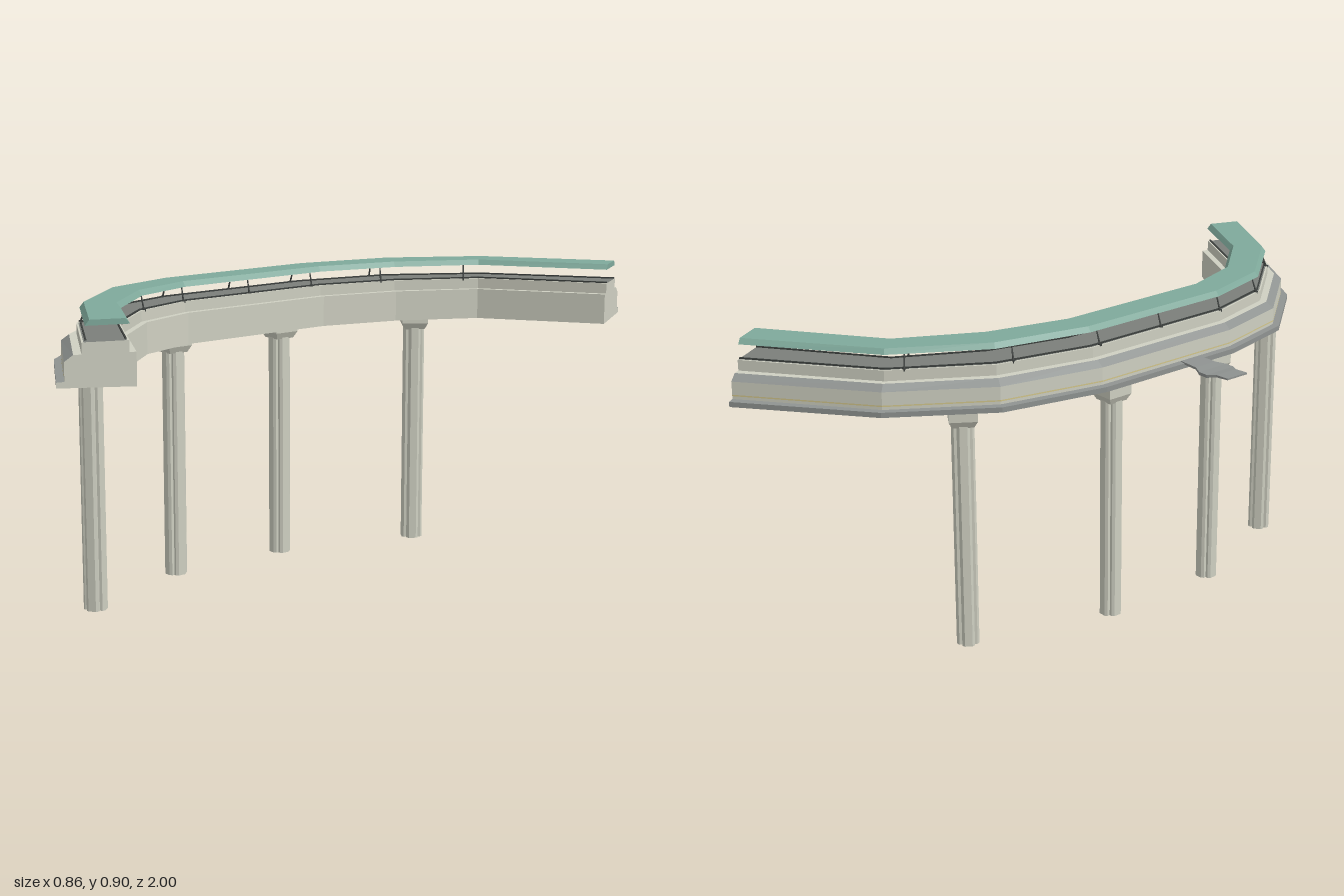
import * as THREE from 'three';

const mat = (name, color) => {
  const m = new THREE.MeshStandardMaterial({ color });
  m.name = name;
  return m;
};

// plan outlines [x, z] from back to front: outer and inner edge of the deck
const OUTER = [[0.325, -1], [-0.01, -0.73], [-0.19, -0.455], [-0.256, -0.137],
  [-0.256, 0.355], [-0.198, 0.6], [-0.003, 0.835], [0.277, 0.995]];
const INNER = [[0.427, -0.83], [0.113, -0.6], [-0.003, -0.37], [-0.063, -0.137],
  [-0.063, 0.355], [-0.003, 0.535], [0.135, 0.69], [0.352, 0.8]];
const WIDTH = 0.193;

// point at path corner i, s across the deck from the outer edge, height y
function at(i, s, y) {
  const t = s / WIDTH, k = Math.min(Math.floor(i), OUTER.length - 2), f = i - k;
  const mix = (c) => {
    const a = OUTER[k][c] + (INNER[k][c] - OUTER[k][c]) * t;
    const b = OUTER[k + 1][c] + (INNER[k + 1][c] - OUTER[k + 1][c]) * t;
    return a + (b - a) * f;
  };
  return new THREE.Vector3(mix(0), y, mix(1));
}

function fromTriangles(tris) {
  const g = new THREE.BufferGeometry().setFromPoints(tris);
  g.computeVertexNormals();
  return g;
}

// open band swept along the deck; profile runs outer side up, across, inner side down
function sweep(profile) {
  const tris = [];
  for (let i = 0; i < OUTER.length - 1; i++) {
    for (let j = 0; j < profile.length - 1; j++) {
      const a = at(i, ...profile[j]), b = at(i + 1, ...profile[j]);
      const c = at(i + 1, ...profile[j + 1]), d = at(i, ...profile[j + 1]);
      tris.push(a, b, c, a, c, d);
    }
  }
  return fromTriangles(tris);
}

// flat faces closing both ends of a swept profile
function endCaps(profile) {
  const tris = [], pts = profile.map(([s, y]) => new THREE.Vector2(s, y));
  for (const f of THREE.ShapeUtils.triangulateShape(pts, [])) {
    const ccw = THREE.ShapeUtils.area(f.map((k) => pts[k])) > 0 ? f : [...f].reverse();
    for (const k of ccw) tris.push(at(OUTER.length - 1, ...profile[k]));
    for (const k of [...ccw].reverse()) tris.push(at(0, ...profile[k]));
  }
  return fromTriangles(tris);
}

export function createModel() {
  const root = new THREE.Group();
  root.name = 'elevatedStation';
  const concrete = mat('concrete', 0xcfd0c2);
  const grey = mat('greyPanel', 0x8f9391);
  const floor = mat('platformGrey', 0x7b7f7a);
  const teal = mat('roofTeal', 0x7fa99b);
  const dark = mat('darkMetal', 0x3c403e);
  const yellow = mat('paleYellow', 0xd2c68c);

  const add = (name, geo, material, parent = root) => {
    const m = new THREE.Mesh(geo, material);
    m.name = name;
    parent.add(m);
    return m;
  };

  // stepped deck section, split by colour
  const lip = [[0, 0.728], [0, 0.743], [0.02, 0.744]];
  const wall = [[0.02, 0.744], [0.02, 0.795]];
  const chamfer = [[0.02, 0.795], [0.042, 0.812]];
  const ledge = [[0.042, 0.812], [0.062, 0.812], [0.062, 0.843], [0.067, 0.843]];
  const platform = [[0.067, 0.843], [0.171, 0.843]];
  const innerWall = [[0.171, 0.843], [0.176, 0.843], [0.176, 0.812], [WIDTH, 0.812], [WIDTH, 0.722]];
  const bands = [lip, wall, chamfer, ledge, platform, innerWall];
  const deck = new THREE.Group();
  deck.name = 'deck';
  root.add(deck);
  add('outerLip', sweep(lip), grey, deck);
  add('outerWall', sweep(wall), concrete, deck);
  add('outerChamfer', sweep(chamfer), grey, deck);
  add('outerLedge', sweep(ledge), concrete, deck);
  add('platformFloor', sweep(platform), floor, deck);
  add('innerWall', sweep(innerWall), concrete, deck);
  add('underside', sweep([[WIDTH, 0.722], [0, 0.728]]), concrete, deck);
  add('deckEnds', endCaps(bands.flatMap((b, i) => (i ? b.slice(1) : b))), concrete, deck);

  // thin painted line on the outer wall and rails along the platform
  add('wallStripe', sweep([[0.0185, 0.753], [0.0185, 0.757]]), yellow, deck);
  for (const s of [0.073, 0.169]) {
    add('platformRail', sweep([[s - 0.002, 0.843], [s - 0.002, 0.847], [s + 0.002, 0.847], [s + 0.002, 0.843]]), dark, deck);
  }

  // roof with bevelled edges
  const roof = [[0.071, 0.885], [0.082, 0.9], [0.168, 0.9], [0.179, 0.885]];
  add('roof', sweep([...roof, roof[0]]), teal);
  add('roofEnds', endCaps(roof), teal);

  // leaning roof struts in pairs, placed by z along the centre line
  const struts = new THREE.Group();
  struts.name = 'roofStruts';
  root.add(struts);
  const pathIndex = (z) => {
    let i = 0;
    while (i < OUTER.length - 1 && at(i, WIDTH / 2, 0).z < z) i += 0.01;
    return i;
  };
  for (const z of [0.745, 0.55, 0.355, 0.12, -0.11, -0.365, -0.62]) {
    const i = pathIndex(z);
    for (const [s0, s1] of [[0.066, 0.082], [0.172, 0.162]]) {
      const a = at(i, s0, 0.842), b = at(i, s1, 0.887);
      const dir = b.clone().sub(a);
      const rod = add('strut', new THREE.CylinderGeometry(0.0018, 0.003, dir.length(), 6), dark, struts);
      rod.position.copy(a).lerp(b, 0.5);
      rod.quaternion.setFromUnitVectors(new THREE.Vector3(0, 1, 0), dir.normalize());
      add('strutFoot', new THREE.BoxGeometry(0.008, 0.008, 0.008), dark, struts).position.copy(a);
    }
  }

  // pillars: cross-shaped shaft with bevelled arms and a flared square capital
  const cross = new THREE.Shape();
  const quarter = [[0.032, -0.011], [0.032, 0.011], [0.026, 0.018], [0.018, 0.018]];
  for (let q = 0; q < 4; q++) {
    const c = Math.round(Math.cos(q * Math.PI / 2)), n = Math.round(Math.sin(q * Math.PI / 2));
    for (const [x, y] of [[0.026, -0.018], ...quarter]) {
      const p = [x * c - y * n, x * n + y * c];
      if (q === 0 && x === 0.026 && y < 0) cross.moveTo(...p);
      else cross.lineTo(...p);
    }
  }
  const shaft = new THREE.ExtrudeGeometry(cross, { depth: 0.68, bevelEnabled: false }).rotateX(-Math.PI / 2);
  const flare = new THREE.CylinderGeometry(0.04 * Math.SQRT2, 0.03 * Math.SQRT2, 0.02, 4)
    .rotateY(Math.PI / 4).toNonIndexed();
  flare.computeVertexNormals();
  const block = new THREE.BoxGeometry(0.08, 0.033, 0.08);
  for (const [x, z, turn] of [[-0.203, 0.315, 0], [-0.203, -0.075, 0], [-0.055, 0.69, 0.69], [-0.08, -0.51, -0.58]]) {
    const pillar = new THREE.Group();
    pillar.name = 'pillar';
    pillar.position.set(x, 0, z);
    pillar.rotation.y = turn;
    root.add(pillar);
    add('shaft', shaft, concrete, pillar);
    add('capitalFlare', flare, concrete, pillar).position.y = 0.685;
    add('capitalBlock', block, concrete, pillar).position.y = 0.7115;
  }

  // side walkway: bulging plate from cross-sections [x, half width, bottom, top]
  const sections = [[-0.435, 0.038, 0.743, 0.748], [-0.39, 0.038, 0.739, 0.746], [-0.365, 0.053, 0.734, 0.743],
    [-0.335, 0.053, 0.734, 0.743], [-0.305, 0.038, 0.738, 0.745], [-0.24, 0.036, 0.74, 0.746]];
  const rings = sections.map(([x, w, lo, hi]) =>
    [[lo, -w], [lo, w], [hi, w], [hi, -w]].map(([y, z]) => new THREE.Vector3(x, y, 0.193 + z)));
  const tris = [];
  for (let i = 0; i < rings.length - 1; i++) {
    for (let j = 0; j < 4; j++) {
      const k = (j + 1) % 4, a = rings[i][j], b = rings[i + 1][j], c = rings[i + 1][k], d = rings[i][k];
      tris.push(a, b, c, a, c, d);
    }
  }
  const [p, q, r, s] = rings[0];
  tris.push(p, q, r, p, r, s);
  add('sideWalkway', fromTriangles(tris), grey);

  return root;
}
